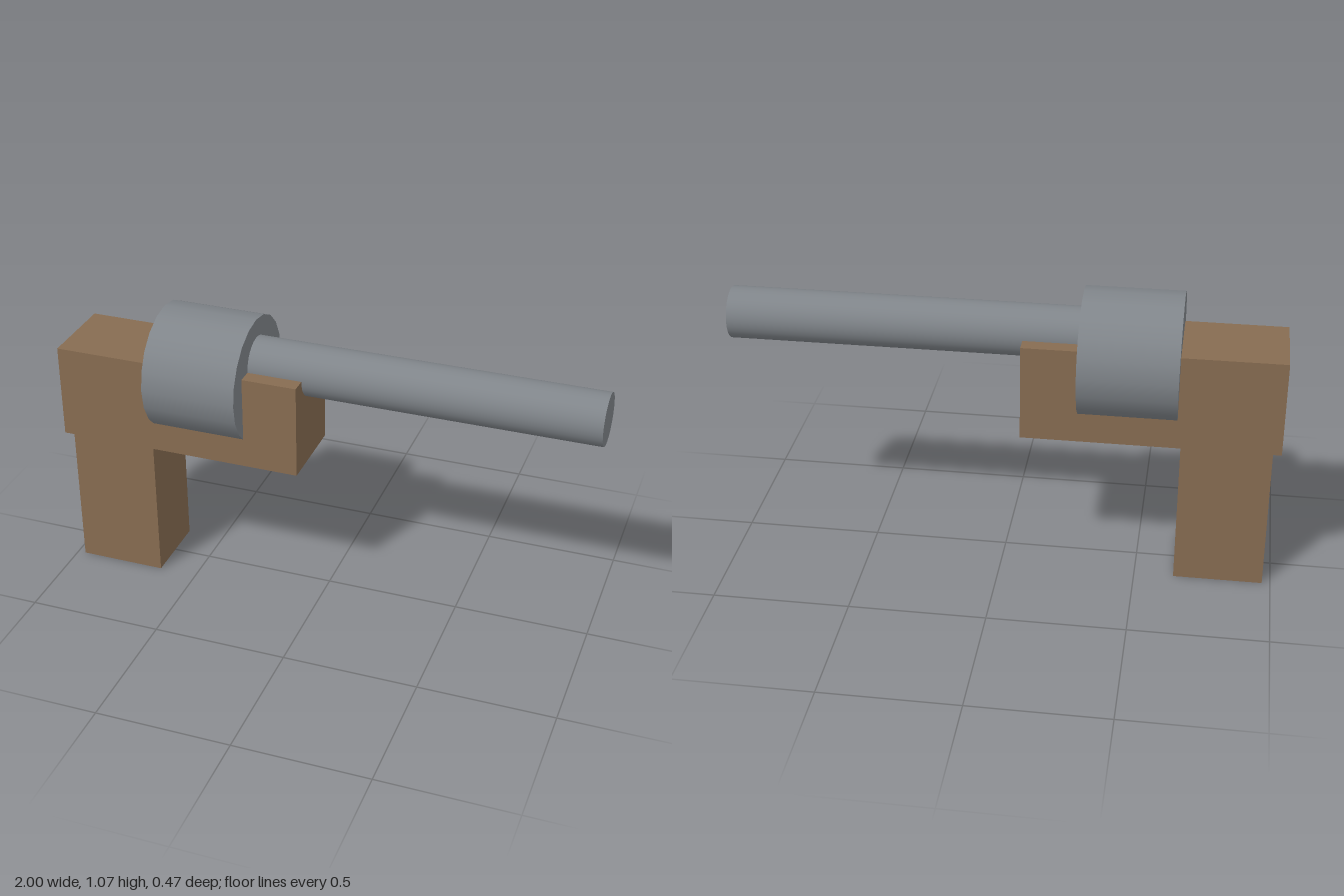
import * as THREE from 'three';

export function createModel() {
  const group = new THREE.Group();
  const brown = new THREE.MeshStandardMaterial({ color: 0x876c51 });
  brown.name = 'brown wood';
  const grey = new THREE.MeshStandardMaterial({ color: 0x80858a });
  grey.name = 'grey metal';

  const add = (name, geometry, material, x, y) => {
    const mesh = new THREE.Mesh(geometry, material);
    mesh.name = name;
    mesh.position.set(x, y, 0);
    group.add(mesh);
  };
  // block spanning x0..x1 and y0..y1, centred on z
  const block = (name, x0, x1, y0, y1, depth) =>
    add(name, new THREE.BoxGeometry(x1 - x0, y1 - y0, depth), brown, (x0 + x1) / 2, (y0 + y1) / 2);
  // round bar lying along x
  const bar = (name, x0, x1, y, radius, sides) =>
    add(name, new THREE.CylinderGeometry(radius, radius, x1 - x0, sides).rotateZ(-Math.PI / 2), grey, (x0 + x1) / 2, y);

  // wooden handle and body
  block('grip', -0.97, -0.645, 0, 0.55, 0.276);
  block('body', -1, -0.072, 0.55, 0.905, 0.305);

  // drum sunk into the body, barrel running forward from inside it
  bar('drum', -0.63, -0.276, 0.836, 0.234, 20);
  bar('barrel', -0.4, 1, 0.906, 0.095, 32);

  return group;
}
